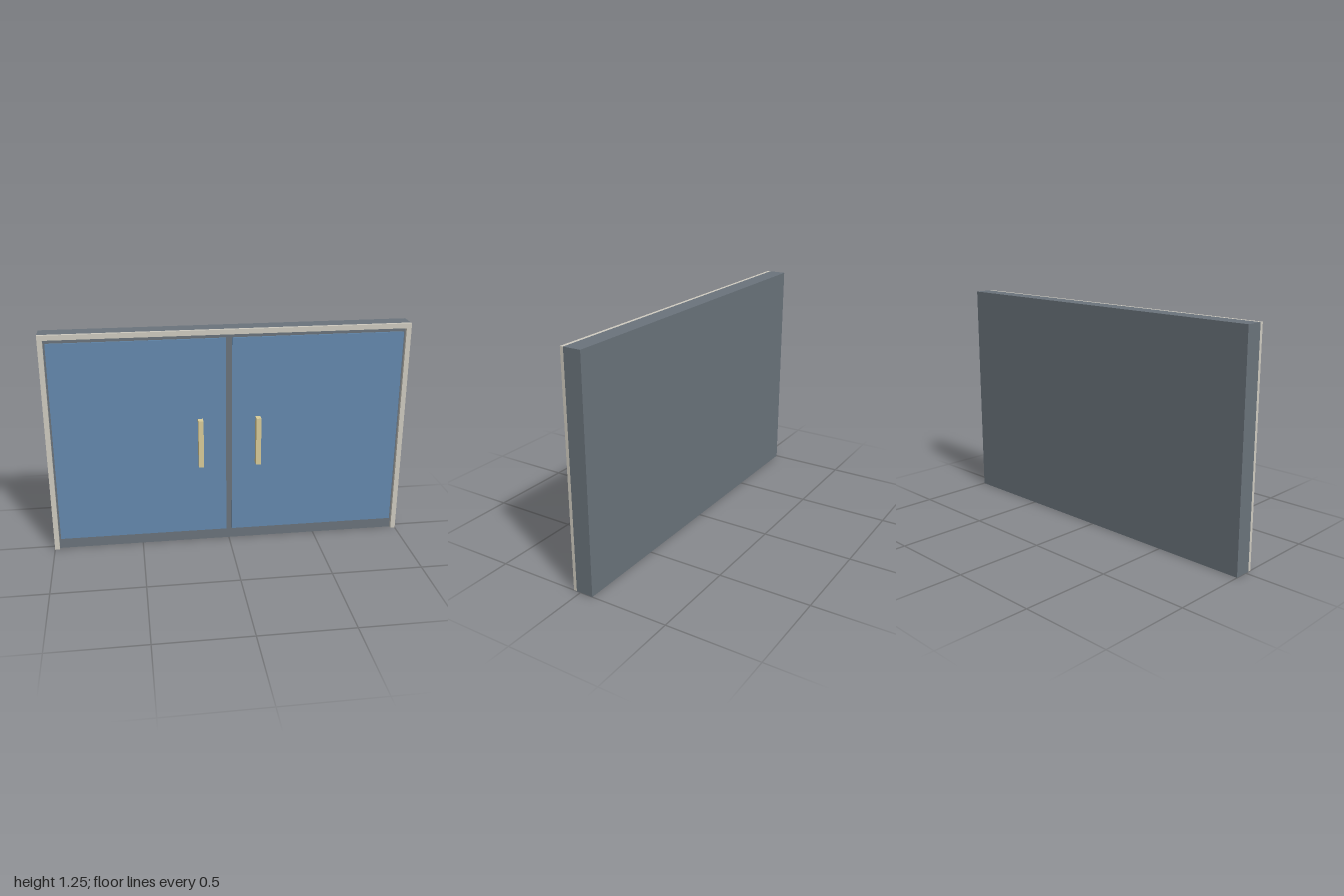
import * as THREE from 'three';

export function createModel() {
  const model = new THREE.Group();
  const mat = (color) => new THREE.MeshStandardMaterial({ color });
  const slate = mat(0x6a737b), blue = mat(0x6489ae), cream = mat(0xcfcbc0), brass = mat(0xd8cb98);

  // Box given by its lower and upper corners
  const box = (name, material, [x0, y0, z0], [x1, y1, z1]) => {
    const mesh = new THREE.Mesh(new THREE.BoxGeometry(x1 - x0, y1 - y0, z1 - z0), material);
    mesh.position.set((x0 + x1) / 2, (y0 + y1) / 2, (z0 + z1) / 2);
    mesh.name = name;
    model.add(mesh);
  };

  const bodyFront = 0.023, paneFront = 0.032, trimFront = 0.041;

  // Solid slab behind the doors
  box('body', slate, [-1, 0, -0.0735], [1, 1.25, bodyFront]);

  // Trim around the two sides and the top, open at the bottom
  const outline = new THREE.Shape([
    [-1, 0], [-0.973, 0], [-0.973, 1.223], [0.973, 1.223],
    [0.973, 0], [1, 0], [1, 1.25], [-1, 1.25],
  ].map(([x, y]) => new THREE.Vector2(x, y)));
  const trim = new THREE.Mesh(
    new THREE.ExtrudeGeometry(outline, { depth: trimFront - bodyFront, bevelEnabled: false }), cream);
  trim.position.z = bodyFront;
  trim.name = 'frameTrim';
  model.add(trim);

  // Two mirrored doors with upright handles
  for (const [side, s] of [['left', 1], ['right', -1]]) {
    const span = (a, b) => (s > 0 ? [a, b] : [-b, -a]);
    const [p0, p1] = span(0.0165, 0.9625);
    box(side + 'DoorPanel', blue, [p0, 0.062, bodyFront], [p1, 1.202, paneFront]);
    const [h0, h1] = span(0.146, 0.174);
    box(side + 'Handle', brass, [h0, 0.477, paneFront], [h1, 0.751, 0.0735]);
  }
  return model;
}
